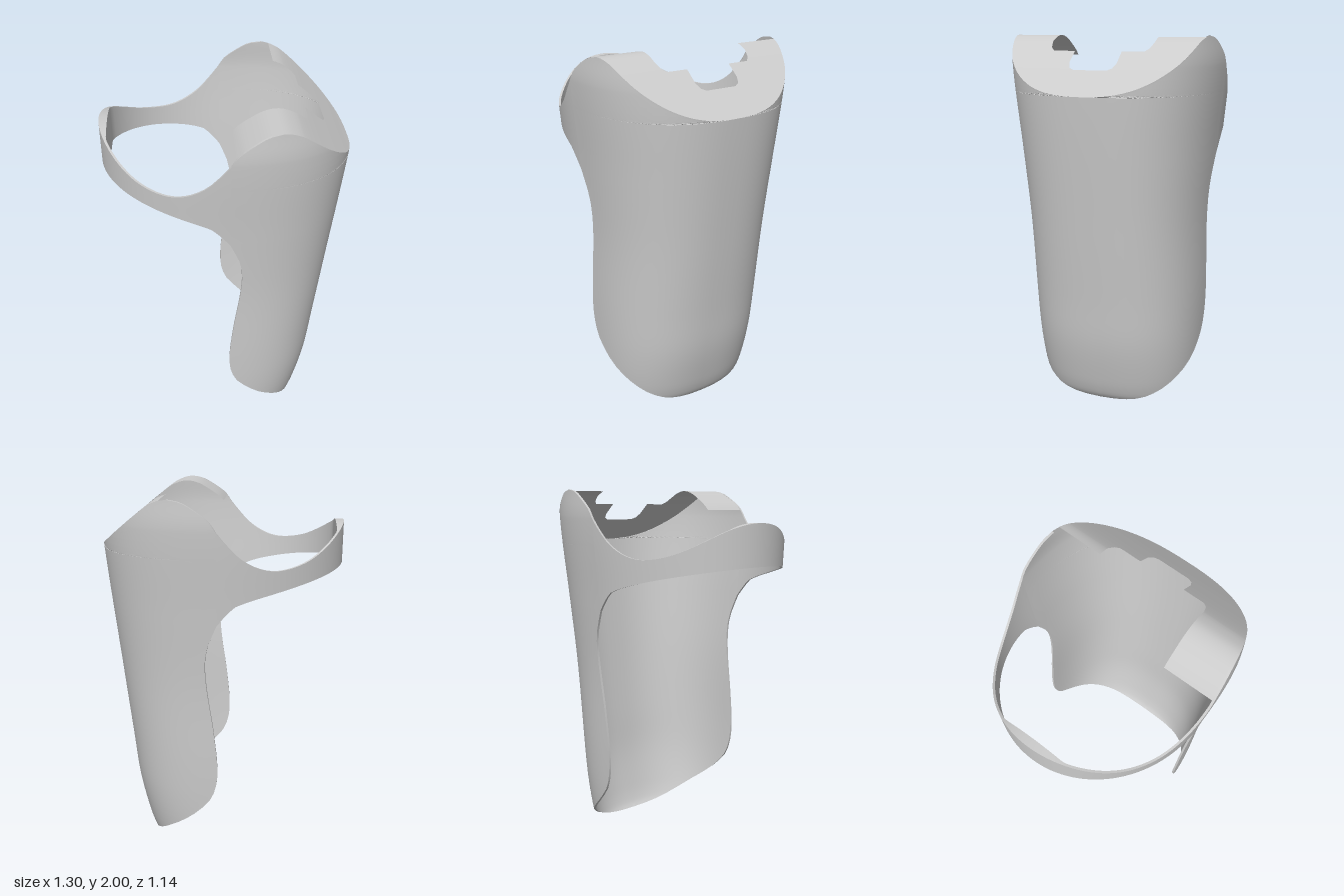
import * as THREE from 'three';
import { toCreasedNormals } from 'three/addons/utils/BufferGeometryUtils.js';

// Smooth interpolation through [key, value] pairs
function curve(pts) {
  const slope = i => {
    const a = pts[Math.max(i - 1, 0)], b = pts[Math.min(i + 1, pts.length - 1)];
    return (b[1] - a[1]) / (b[0] - a[0]);
  };
  return k => {
    k = Math.min(Math.max(k, pts[0][0]), pts[pts.length - 1][0]);
    let i = 0;
    while (i < pts.length - 2 && k > pts[i + 1][0]) i++;
    const [k0, v0] = pts[i], [k1, v1] = pts[i + 1];
    const h = k1 - k0, t = (k - k0) / h, t2 = t * t, t3 = t2 * t;
    return v0 * (2 * t3 - 3 * t2 + 1) + v1 * (3 * t2 - 2 * t3)
      + h * (slope(i) * (t3 - 2 * t2 + t) + slope(i + 1) * (t3 - t2));
  };
}

// Plan half-sizes by height
const depth = curve([[0, 0.405], [0.03, 0.425], [0.12, 0.455], [0.35, 0.505], [0.6, 0.533], [1, 0.577], [1.71, 0.65], [2, 0.665]]);
const width = curve([[0, 0.44], [0.2, 0.47], [0.5, 0.487], [1, 0.5], [1.4, 0.53], [1.85, 0.57], [2, 0.563]]);
// Outline of the shell seen from the side
const openEdge = curve([[0, 0.405], [0.02, 0.39], [0.06, 0.355], [0.13, 0.28], [0.2, 0.19], [0.27, 0.11], [0.36, 0.035], [0.5, 0.002],
  [0.75, 0.02], [1, 0.055], [1.15, 0.065], [1.25, 0.05], [1.37, 0]]);
const shoulder = curve([[1.85, 0], [1.9, 0.035], [1.96, 0.12], [1.99, 0.18], [2, 0.24]]);
const slopeEdge = curve([[1.71, 0.65], [1.84, 0.5], [1.96, 0.35], [1.99, 0.29], [2, 0.24]]);
const capHeight = curve([[0, 1.85], [0.035, 1.9], [0.12, 1.96], [0.18, 1.99], [0.24, 2], [0.29, 1.99], [0.35, 1.96], [0.5, 1.84], [0.65, 1.71]]);
const bandLow = curve([[-0.65, 1.61], [-0.3, 1.535], [-0.1, 1.475], [-0.05, 1.43], [0, 1.37]]);
const bandHigh = curve([[-0.65, 1.83], [-0.55, 1.74], [-0.45, 1.68], [-0.32, 1.65], [-0.22, 1.665], [-0.12, 1.72], [-0.05, 1.79], [0, 1.85]]);

const BAND_X = 0.65, BAND_FLAT = -0.605, THICK = 0.012;

// Point on the rounded plan section; the inner face is flat across the end of the band
function point(angle, y, inset, side) {
  const c = Math.cos(angle), s = Math.abs(Math.sin(angle));
  const e = c >= 0 ? 0.8 : 1;
  const r = (c >= 0 ? depth(y) : BAND_X) - inset;
  const x = Math.sign(c) * r * Math.abs(c) ** e;
  return [inset > 0 ? Math.max(x, BAND_FLAT) : x, y, side * (width(y) - inset) * s ** e];
}
const angleAt = (x, y) => Math.acos(Math.min(1, Math.max(0, x) / depth(y)) ** 1.25);

function quad(out, a, b, c, d, flip) {
  if (flip) out.push(...a, ...d, ...c, ...a, ...c, ...b);
  else out.push(...a, ...b, ...c, ...a, ...c, ...d);
}

// Thin wall on a grid; at(i, j) gives [angle, y]; rim(edge, i) says which edges are closed
function wall(out, ni, nj, at, rim, side) {
  const p = (i, j, inset) => point(...at(i, j), inset, side);
  const f = side < 0;
  for (let i = 0; i < ni; i++) for (let j = 0; j < nj; j++) {
    for (const t of [0, THICK])
      quad(out, p(i, j, t), p(i + 1, j, t), p(i + 1, j + 1, t), p(i, j + 1, t), f !== (t > 0));
  }
  const strip = (a, b, flip) => quad(out, p(...a, 0), p(...b, 0), p(...b, THICK), p(...a, THICK), flip !== f);
  for (let i = 0; i < ni; i++) if (rim('end', i)) strip([i, nj], [i + 1, nj], false);
  for (let j = 0; j < nj; j++) {
    if (rim('bottom')) strip([0, j], [0, j + 1], false);
    if (rim('top')) strip([ni, j], [ni, j + 1], true);
  }
}

function mesh(name, positions) {
  const g = new THREE.BufferGeometry();
  g.setAttribute('position', new THREE.Float32BufferAttribute(positions, 3));
  const m = new THREE.Mesh(toCreasedNormals(g, 0.6),
    new THREE.MeshStandardMaterial({ color: 0xcccccc, side: THREE.DoubleSide }));
  m.name = name;
  return m;
}

// Tall curved guard, open towards -x
function guardShell() {
  const ys = [1.37, 1.85];
  for (let k = 0; k <= 48; k++) ys.push(1 - Math.cos(Math.PI * k / 48));
  // Finer rows where the sloping rim starts
  for (let k = 0; k <= 16; k++) ys.push(1.71 + 0.12 * (k / 16) ** 2);
  ys.sort((a, b) => a - b);
  const nj = 24;
  const rows = ys.map(y => {
    const xMin = y < 1.37 ? openEdge(y) : y > 1.85 ? shoulder(y) : 0;
    return [y <= 1.71 ? 0 : angleAt(slopeEdge(y), y), y === 0 ? 0 : angleAt(xMin, y)];
  });
  const at = (i, j) => [rows[i][0] + (rows[i][1] - rows[i][0]) * j / nj, ys[i]];
  const rim = (edge, i) => edge === 'end' && (ys[i] < 1.37 || ys[i] >= 1.85);
  const out = [];
  for (const side of [1, -1]) wall(out, ys.length - 1, nj, at, rim, side);
  return mesh('guardShell', out);
}

// Strap-like loop that closes the ring at the top
function loopBand() {
  const ni = 8, nj = 32, out = [];
  const at = (i, j) => {
    const a = Math.PI / 2 * (1 + j / nj);
    const x = BAND_X * Math.cos(a);
    return [a, bandLow(x) + (bandHigh(x) - bandLow(x)) * i / ni];
  };
  for (const side of [1, -1]) wall(out, ni, nj, at, edge => edge !== 'end', side);
  return mesh('loopBand', out);
}

// Sloping cap with a stepped cut-out; each span is [x0, x1, inner z at x0, inner z at x1]
function topCap() {
  const out = [];
  const shared = [[0.34, 0.38, 0.285, 0.272], [0.38, 0.4, 0.272, 0.25], [0.4, 0.47, 0.13, 0.13],
    [0.47, 0.497, 0.13, 0.117], [0.497, 0.51, 0.117, 0.09], [0.51, 0.65, 0, 0]];
  for (const [side, startX] of [[1, 0.025], [-1, 0.28]]) {
    for (const [x0, x1, z0, z1] of [[startX, 0.34, 0.285, 0.285], ...shared]) {
      const n = Math.ceil((x1 - x0) / 0.012);
      const edge = k => {
        // Columns crowd towards the far end, where the rim curves fastest
        const t = 1 - (1 - k / n) ** 2, x = x0 + (x1 - x0) * t, y = capHeight(x);
        const outer = point(angleAt(x, y), y, 0, 1)[2];
        return [[x, y, side * Math.min(z0 + (z1 - z0) * t, outer)], [x, y, side * outer]];
      };
      for (let k = 0; k < n; k++) {
        const [a, b] = edge(k), [d, c] = edge(k + 1);
        quad(out, a, b, c, d, side < 0);
      }
    }
  }
  return mesh('topCap', out);
}

export function createModel() {
  const group = new THREE.Group();
  group.name = 'curvedGuard';
  group.add(guardShell(), loopBand(), topCap());
  return group;
}
